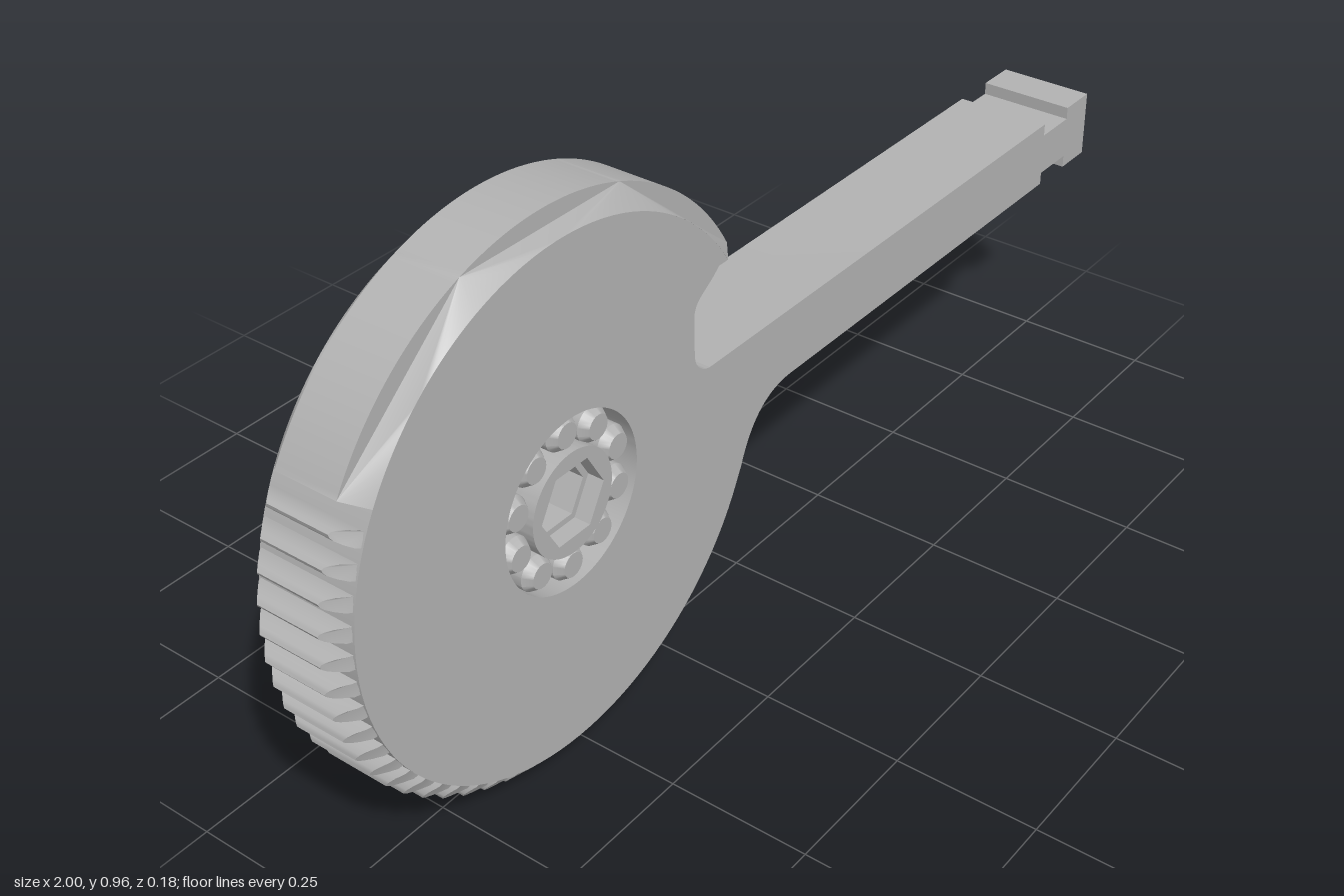
import * as THREE from 'three';
import { toCreasedNormals } from 'three/addons/utils/BufferGeometryUtils.js';

const CX = -0.52, CY = 0.481;        // wheel centre
const R = 0.445, RIM = 0.48;         // root and outer radius
const HALF = 0.09, RIM_HALF = 0.057; // half thickness at root and at outer radius
const rad = THREE.MathUtils.degToRad;

// Extrude a shape evenly about z = 0
function slab(shape, half, curveSegments = 48) {
  const g = new THREE.ExtrudeGeometry(shape, { depth: half * 2, bevelEnabled: false, curveSegments });
  return g.translate(0, 0, -half);
}

// Pull the faces in beyond the root radius to make a conical chamfer
function chamfer(g) {
  const p = g.attributes.position;
  for (let i = 0; i < p.count; i++) {
    const r = Math.hypot(p.getX(i), p.getY(i));
    const t = THREE.MathUtils.clamp((r - R) / (RIM - R), 0, 1);
    p.setZ(i, Math.sign(p.getZ(i)) * (HALF + (RIM_HALF - HALF) * t));
  }
  return g;
}

function hexPath(r) {
  const path = new THREE.Path();
  path.setFromPoints([0, 1, 2, 3, 4, 5, 6].map(i =>
    new THREE.Vector2(r * Math.cos(i * Math.PI / 3), r * Math.sin(i * Math.PI / 3))));
  return path;
}

export function createModel() {
  const model = new THREE.Group();
  model.name = 'ratchetLever';
  const grey = new THREE.MeshStandardMaterial({ color: 0xb2b2b2 });
  grey.name = 'metal grey';
  const add = (parent, name, geometry, crease = 0.5) => {
    const mesh = new THREE.Mesh(toCreasedNormals(geometry, crease), grey);
    mesh.name = name;
    parent.add(mesh);
    return mesh;
  };

  // Wheel disc and grooved arm, one outline with a bearing hole
  const body = new THREE.Shape();
  const lip = 0.715;
  const a0 = Math.asin((lip - CY) / R);
  body.moveTo(CX + R * Math.cos(a0), lip);
  body.absarc(CX, CY, R, a0, rad(331), false);
  body.lineTo(-0.108, 0.31);
  body.bezierCurveTo(-0.085, 0.37, -0.05, 0.42, 0.03, 0.42);
  [[0.84, 0.42], [0.84, 0.443], [0.925, 0.443], [0.925, 0.42], [1, 0.42],
    [1, 0.545], [0.925, 0.545], [0.925, 0.522], [0.84, 0.522], [0.84, 0.545],
    [-0.185, 0.545]].forEach(([x, y]) => body.lineTo(x, y));
  body.bezierCurveTo(-0.208, 0.545, -0.227, 0.562, -0.227, 0.587);
  body.lineTo(-0.227, 0.65);
  body.bezierCurveTo(-0.227, 0.685, -0.195, 0.685, -0.165, lip);
  const bore = new THREE.Path();
  bore.absarc(CX, CY, 0.148, 0, Math.PI * 2, true);
  body.holes.push(bore);
  add(model, 'wheelAndArm', slab(body, HALF));

  const wheel = new THREE.Group();
  wheel.name = 'wheelDetails';
  wheel.position.set(CX, CY, 0);
  model.add(wheel);

  // Smooth chamfered rim over the top
  const rim = new THREE.Shape();
  const end = rad(150.5);
  rim.absarc(0, 0, RIM, Math.asin((lip - CY) / RIM), end, false);
  rim.absarc(0, 0, R, end, a0, true);
  add(wheel, 'smoothRim', chamfer(slab(rim, HALF)), 0.4);

  // Gear teeth around the left and bottom, six degrees apart
  const teeth = new THREE.Group();
  teeth.name = 'teeth';
  wheel.add(teeth);
  const side = [[0.438, 0.012], [0.452, 0.0125], [0.464, 0.0105], [0.473, 0.0075], [0.478, 0.004]];
  const outline = [
    ...side.map(([r, w]) => new THREE.Vector2(r, -w)),
    new THREE.Vector2(RIM, 0),
    ...side.slice().reverse().map(([r, w]) => new THREE.Vector2(r, w)),
  ];
  const toothGeometry = chamfer(slab(new THREE.Shape(outline), HALF));
  for (let k = 26; k <= 55; k++) {
    add(teeth, 'tooth', toothGeometry, 0.7).rotation.z = rad(k * 6);
  }

  // Bearing rollers with chamfered ends
  const rollers = new THREE.Group();
  rollers.name = 'rollers';
  wheel.add(rollers);
  const profile = [[0, -0.085], [0.021, -0.085], [0.031, -0.07], [0.031, 0.07], [0.021, 0.085], [0, 0.085]]
    .map(([r, y]) => new THREE.Vector2(r, y));
  const rollerGeometry = new THREE.LatheGeometry(profile, 24).rotateX(Math.PI / 2);
  for (let i = 0; i < 10; i++) {
    const a = rad(90 + i * 36);
    add(rollers, 'roller', rollerGeometry).position.set(0.117 * Math.cos(a), 0.117 * Math.sin(a), 0);
  }

  // Hub with a hexagonal bore, narrower in the middle
  const hubLayer = (name, hexRadius, half, z) => {
    const s = new THREE.Shape();
    s.absarc(0, 0, 0.089, 0, Math.PI * 2, false);
    s.holes.push(hexPath(hexRadius));
    add(wheel, name, slab(s, half)).position.z = z;
  };
  hubLayer('hubCore', 0.058, 0.06, 0);
  hubLayer('hubFront', 0.07, 0.015, 0.075);
  hubLayer('hubBack', 0.07, 0.015, -0.075);

  return model;
}
